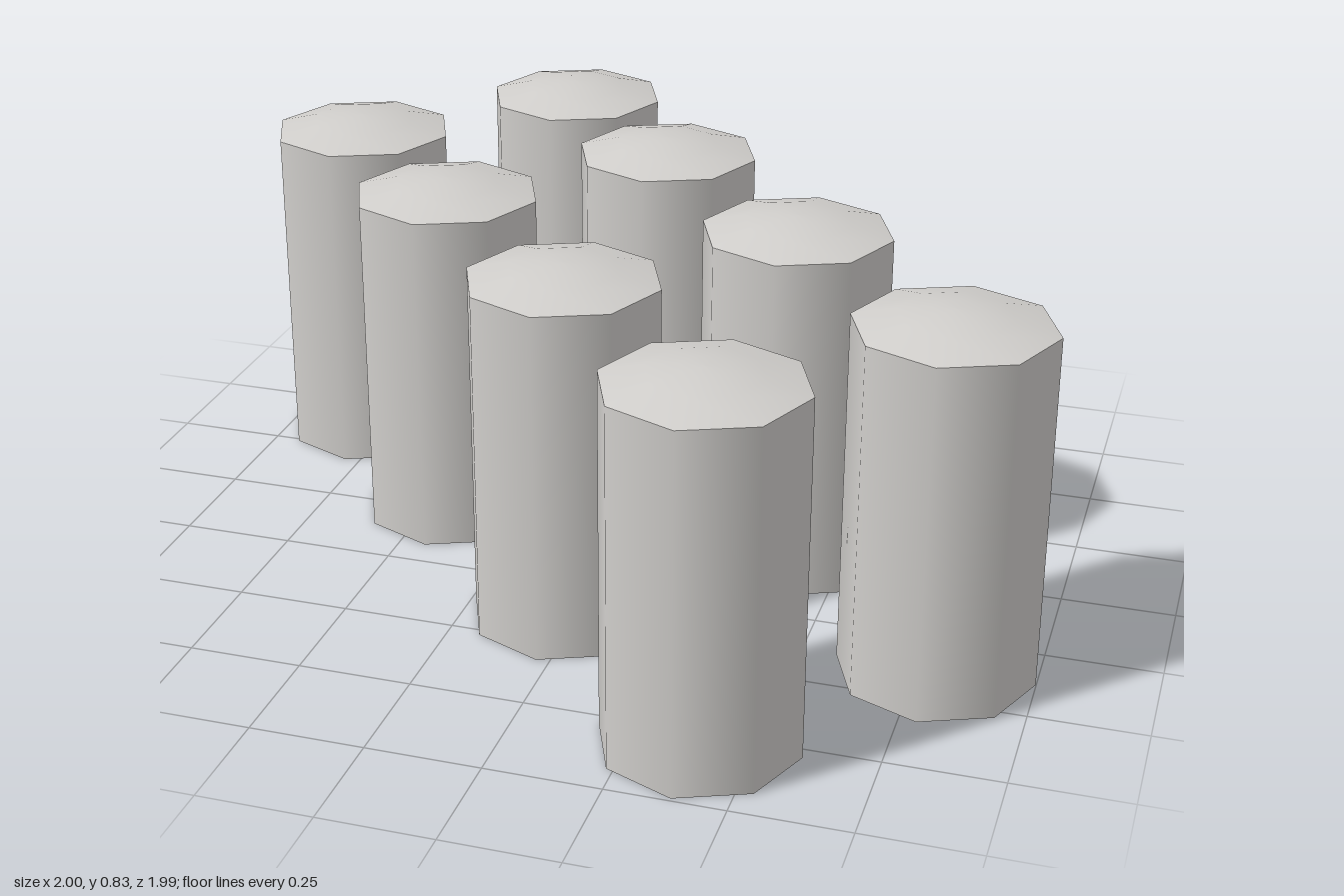
import * as THREE from 'three';

const RADIUS = 0.212;
const WALL_HEIGHT = 0.79;
const SIDES = 8;

// Column centres (x, z) in two diagonal rows
const ROWS = {
  left: [[-0.377, -0.787], [-0.04, -0.44], [0.37, -0.035], [0.787, 0.375]],
  right: [[-0.788, -0.39], [-0.44, -0.037], [-0.03, 0.37], [0.385, 0.78]],
};

export function createModel() {
  const model = new THREE.Group();
  model.name = 'columns';

  const stone = new THREE.MeshStandardMaterial({ color: 0xd0cecb, side: THREE.DoubleSide });
  stone.name = 'pale grey';

  // Octagonal shell, open underneath
  const wall = new THREE.CylinderGeometry(RADIUS, RADIUS, WALL_HEIGHT, SIDES, 1, true);
  wall.translate(0, WALL_HEIGHT / 2, 0);

  // Shallow domed cap
  const capProfile = [
    [RADIUS, WALL_HEIGHT], [0.12, 0.814], [0.05, 0.825], [0, 0.826],
  ].map(([r, y]) => new THREE.Vector2(r, y));
  const cap = new THREE.LatheGeometry(capProfile, SIDES);

  for (const [side, centres] of Object.entries(ROWS)) {
    centres.forEach(([x, z], i) => {
      const column = new THREE.Group();
      column.name = `${side}Column${i + 1}`;
      for (const [name, geometry] of [['wall', wall], ['domedCap', cap]]) {
        const mesh = new THREE.Mesh(geometry, stone);
        mesh.name = name;
        column.add(mesh);
      }
      column.position.set(x, 0, z);
      model.add(column);
    });
  }
  return model;
}
